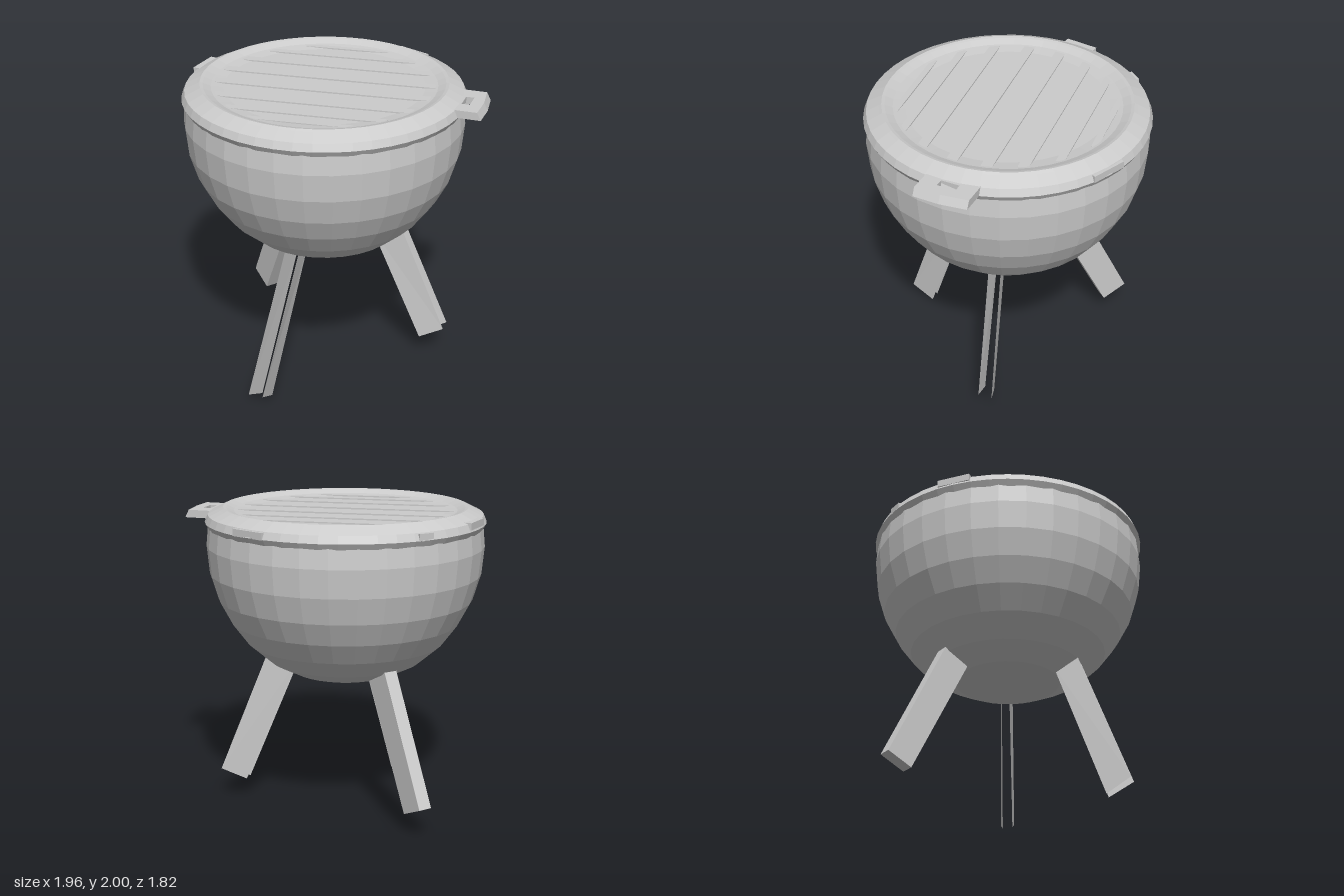
import * as THREE from 'three';

const AXIS_X = -0.075; // the bowl axis sits off centre because of the handle
const TILT = 0.1;      // turn of the grate about the axis

const flat = new THREE.MeshStandardMaterial({ color: 0xcccccc, flatShading: true });
const thin = new THREE.MeshStandardMaterial({ color: 0xcccccc, flatShading: true, side: THREE.DoubleSide });

function part(name, geometry, material = flat) {
  const mesh = new THREE.Mesh(geometry, material);
  mesh.name = name;
  return mesh;
}

function lathe(name, points, segments) {
  return part(name, new THREE.LatheGeometry(points.map(p => new THREE.Vector2(...p)), segments), thin);
}

function polygon(points, Type = THREE.Shape) {
  return new Type(points.map(p => new THREE.Vector2(...p)));
}

// Thin leg plate from four corners: inner top, inner bottom, outer bottom, outer top
function plate(corners) {
  const g = new THREE.BufferGeometry();
  g.setAttribute('position', new THREE.Float32BufferAttribute(corners.flat(), 3));
  g.setIndex([0, 1, 2, 0, 2, 3]);
  g.computeVertexNormals();
  return part('legPlate', g, thin);
}

function plateLeg(name, plates) {
  const leg = new THREE.Group();
  leg.name = name;
  plates.forEach(corners => leg.add(plate(corners)));
  return leg;
}

export function createModel() {
  const model = new THREE.Group();
  model.name = 'kettleGrill';
  const body = new THREE.Group();
  body.name = 'body';
  body.position.x = AXIS_X;
  model.add(body);

  // Rounded bowl
  body.add(lathe('bowl', [
    [0, 0.845], [0.17, 0.855], [0.34, 0.905], [0.5, 0.985], [0.645, 1.11], [0.75, 1.25],
    [0.83, 1.4], [0.882, 1.57], [0.9, 1.75], [0.888, 1.88],
  ], 32));

  // Rim ring, inner slope and the very shallow floor under the grate
  body.add(lathe('rim', [
    [0.86, 1.86], [0.885, 1.865], [0.908, 1.905], [0.888, 1.952], [0.81, 1.99],
    [0.79, 2], [0.77, 1.995], [0.72, 1.975], [0.64, 1.965], [0, 1.963],
  ], 48));

  // Grate bars, almost flush with the floor and cut to its circle
  const grate = new THREE.Group();
  grate.name = 'grate';
  const bars = [[-0.65, 0.04], [-0.505, 0.05], [-0.32, 0.065], [-0.115, 0.07],
    [0.1, 0.07], [0.32, 0.065], [0.5, 0.05], [0.63, 0.04]];
  for (const [z, width] of bars) {
    const length = 2 * Math.sqrt(0.71 ** 2 - z ** 2);
    const bar = part('grateBar', new THREE.BoxGeometry(length, 0.012, width));
    bar.position.set(0, 1.967, z);
    grate.add(bar);
  }
  grate.rotation.y = TILT;
  body.add(grate);

  // Side handle with a square grip hole and a sloping outer edge
  const outline = polygon([[0.82, -0.11], [1.045, -0.11], [1.048, 0.06], [1.025, 0.235], [0.82, 0.235]]);
  outline.holes.push(polygon([[0.895, 0], [0.895, 0.12], [0.947, 0.12], [0.947, 0]], THREE.Path));
  const handle = new THREE.ExtrudeGeometry(outline, { depth: 0.05, bevelEnabled: false });
  handle.rotateX(-Math.PI / 2).translate(0, 1.905, 0);
  const pos = handle.attributes.position;
  for (let i = 0; i < pos.count; i++) {
    if (pos.getX(i) > 1 && pos.getY(i) > 1.93) pos.setX(i, pos.getX(i) - 0.025);
  }
  body.add(part('handle', handle));

  // Small lugs on the rim: angle, width, height of centre
  for (const [angle, width, y] of [[187.5, 0.22, 1.94], [220, 0.1, 1.925], [293, 0.24, 1.925]]) {
    const pivot = new THREE.Group();
    pivot.name = 'rimLug';
    const lug = part('lugBlock', new THREE.BoxGeometry(0.08, 0.045, width));
    lug.position.set(0.865, y, 0);
    pivot.add(lug);
    pivot.rotation.y = -THREE.MathUtils.degToRad(angle);
    body.add(pivot);
  }

  // Two splayed legs made of paired plates
  model.add(plateLeg('frontLeg', [
    [[-0.14, 0.97, 0.32], [-0.28, 0, 0.675], [-0.31, 0.085, 0.835], [-0.165, 1.04, 0.475]],
    [[-0.08, 0.97, 0.32], [-0.21, 0, 0.675], [-0.213, 0.085, 0.835], [-0.073, 1.04, 0.475]],
  ]));
  model.add(plateLeg('leftLeg', [
    [[0.23, 0.95, -0.072], [0.56, 0.13, -0.14], [0.72, 0.205, -0.17], [0.4, 1.04, -0.095]],
    [[0.23, 0.95, -0.125], [0.56, 0.13, -0.207], [0.72, 0.205, -0.265], [0.4, 1.04, -0.18]],
  ]));

  // Third leg is a closed beam
  const beam = new THREE.ExtrudeGeometry(
    polygon([[0.75, 0.13], [0.915, 0.205], [0.5, 1.05], [0.33, 0.96]]),
    { depth: 0.09, bevelEnabled: false });
  const backLeg = part('backRightLeg', beam.translate(0, 0, -0.045));
  backLeg.rotation.y = -THREE.MathUtils.degToRad(219);
  body.add(backLeg);

  return model;
}
